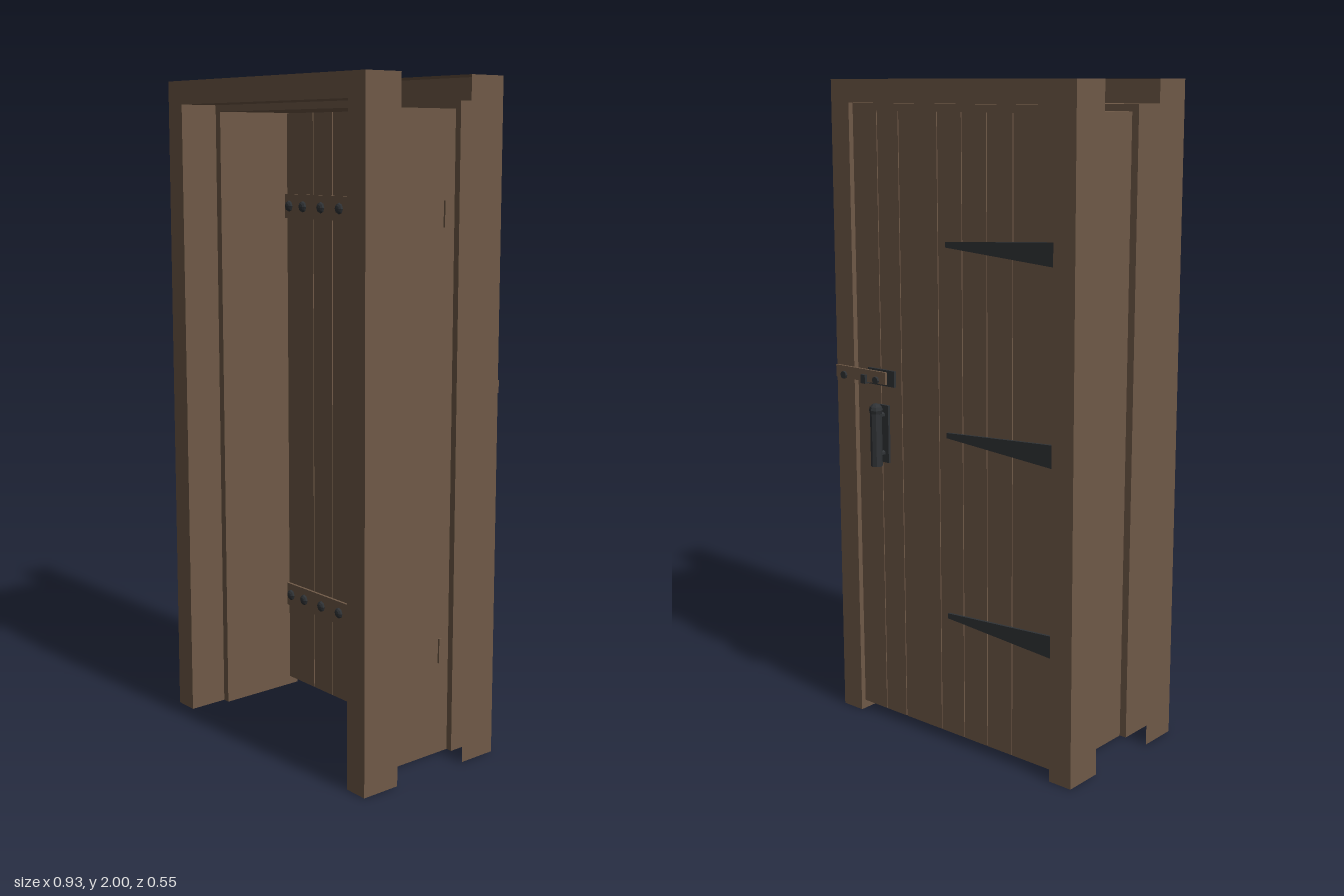
import * as THREE from 'three';

export function createModel() {
  const model = new THREE.Group();
  model.name = 'plankDoor';

  const wood = new THREE.MeshStandardMaterial({ color: 0x6f5947, side: THREE.DoubleSide });
  wood.name = 'brown wood';
  const iron = new THREE.MeshStandardMaterial({ color: 0x303336, flatShading: true });
  iron.name = 'dark iron';

  const add = (name, geometry, material, x = 0, y = 0, z = 0, parent = model) => {
    const mesh = new THREE.Mesh(geometry, material);
    mesh.name = name;
    mesh.position.set(x, y, z);
    parent.add(mesh);
    return mesh;
  };
  // Box given by its limits on each axis
  const box = (name, material, [x0, x1], [y0, y1], [z0, z1], parent = model) =>
    add(name, new THREE.BoxGeometry(x1 - x0, y1 - y0, z1 - z0), material,
      (x0 + x1) / 2, (y0 + y1) / 2, (z0 + z1) / 2, parent);
  // Open flat-faced sheet stretched between successive rows of points
  const skin = (rows) => {
    const positions = [];
    for (let i = 0; i < rows.length - 1; i++) {
      const a = rows[i], b = rows[i + 1];
      for (let j = 0; j < a.length - 1; j++) {
        positions.push(...a[j], ...b[j], ...b[j + 1], ...a[j], ...b[j + 1], ...a[j + 1]);
      }
    }
    const geometry = new THREE.BufferGeometry();
    geometry.setAttribute('position', new THREE.Float32BufferAttribute(positions, 3));
    geometry.computeVertexNormals();
    return geometry;
  };

  // Casings, lining and rebate: one profile swept round the arch, open to the wall and floor.
  // Each entry: half width at the foot, half width at the top, height, z
  const profile = [
    [0.466, 0.46, 2, 0.151], [0.466, 0.46, 2, 0.276],
    [0.39, 0.39, 1.93, 0.276], [0.39, 0.39, 1.93, 0.151],
    [0.367, 0.367, 1.91, 0.151], [0.367, 0.367, 1.91, -0.14],
    [0.387, 0.387, 1.932, -0.14], [0.387, 0.387, 1.932, -0.232],
    [0.466, 0.46, 2, -0.232], [0.466, 0.46, 2, -0.108],
  ];
  add('doorFrame', skin(profile.map(([foot, head, top, z]) =>
    [[-foot, 0, z], [-head, top, z], [head, top, z], [foot, 0, z]])), wood);

  // Planked door leaf, rebated at the sides, with a fine groove at every seam on both faces
  const door = new THREE.Group();
  door.name = 'door';
  model.add(door);
  const front = -0.107, back = -0.216;
  const seams = [-0.233, -0.138, -0.045, 0.048, 0.2, 0.287];
  const outline = [[-0.366, front]];
  const groove = (x, z, depth, step) =>
    outline.push([x - step, z], [x - step, z + depth], [x + step, z + depth], [x + step, z]);
  for (const x of seams) groove(x, front, -0.006, 0.0015);
  outline.push([0.366, front], [0.366, -0.141], [0.386, -0.141], [0.386, back]);
  for (const x of [...seams].reverse()) groove(x, back, 0.006, -0.0015);
  outline.push([-0.386, back], [-0.386, -0.141], [-0.366, -0.141], [-0.366, front]);
  add('planks', skin(outline.map(([x, z]) => [[x, 0.028, z], [x, 1.909, z]])), wood, 0, 0, 0, door);
  // Top lip of the leaf, filling the rebate under the head
  box('topLip', wood, [-0.386, 0.386], [1.909, 1.931], [back, -0.141], door);

  // Cross battens with domed studs
  const studX = [-0.345, -0.275, -0.185, -0.095, 0, 0.09, 0.18, 0.27, 0.345];
  const studGeometry = new THREE.SphereGeometry(0.018, 8, 3, 0, Math.PI * 2, 0, Math.PI / 2);
  studGeometry.scale(1, 0.6, 1).rotateX(Math.PI / 2);
  for (const y of [0.323, 1.618]) {
    box('batten', wood, [-0.373, 0.373], [y - 0.038, y + 0.038], [-0.11, -0.098], door);
    for (const x of studX) add('stud', studGeometry, iron, x, y, -0.098, door);
  }

  // Tapered strap hinges on the back
  const strapShape = new THREE.Shape([[-0.385, -0.034], [0.012, -0.008], [0.012, 0.008], [-0.385, 0.034]]
    .map(([x, y]) => new THREE.Vector2(x, y)));
  const strapGeometry = new THREE.ExtrudeGeometry(strapShape, { depth: 0.008, bevelEnabled: false });
  for (const y of [0.412, 0.975, 1.537]) add('strapHinge', strapGeometry, iron, 0, y, back - 0.008, door);

  // Pull handles, built on the front and turned round for the back
  const barGeometry = new THREE.CylinderGeometry(0.018, 0.018, 0.175, 8);
  const knobGeometry = new THREE.SphereGeometry(0.021, 8, 6);
  const bracketGeometry = new THREE.CylinderGeometry(0.008, 0.008, 0.035, 6).rotateX(Math.PI / 2);
  const makeHandle = (name, z, turn) => {
    const handle = new THREE.Group();
    handle.name = name;
    handle.position.set(0.274, 0, z);
    handle.rotation.y = turn;
    box('handlePlate', iron, [-0.021, 0.021], [0.85, 1.03], [0, 0.008], handle);
    add('handleBar', barGeometry, iron, 0, 0.932, 0.039, handle);
    add('handleKnob', knobGeometry, iron, 0, 1.02, 0.039, handle);
    for (const y of [0.88, 1.0]) add('handleBracket', bracketGeometry, iron, 0, y, 0.021, handle);
    model.add(handle);
  };
  makeHandle('frontHandle', front, 0);
  makeHandle('backHandle', back, Math.PI);

  // Latch bar with its backplate, keeper and pins
  const latch = new THREE.Group();
  latch.name = 'latch';
  model.add(latch);
  box('latchBar', wood, [0.24, 0.452], [1.1, 1.138], [-0.247, -0.239], latch);
  box('latchPlate', iron, [0.225, 0.335], [1.09, 1.14], [-0.224, back], latch);
  box('latchKeeper', iron, [0.318, 0.337], [1.095, 1.122], [-0.256, -0.218], latch);
  const pinGeometry = new THREE.CylinderGeometry(0.012, 0.012, 0.036, 8).rotateX(Math.PI / 2);
  for (const x of [0.278, 0.415]) add('latchPin', pinGeometry, iron, x, 1.11, -0.236, latch);

  // Latch lifter on the front
  box('lifterSlot', iron, [0.247, 0.253], [1.132, 1.16], [front, front + 0.005], latch);
  add('lifterRing', new THREE.TorusGeometry(0.01, 0.003, 6, 10), wood, 0.25, 1.122, front + 0.003, latch);

  return model;
}
